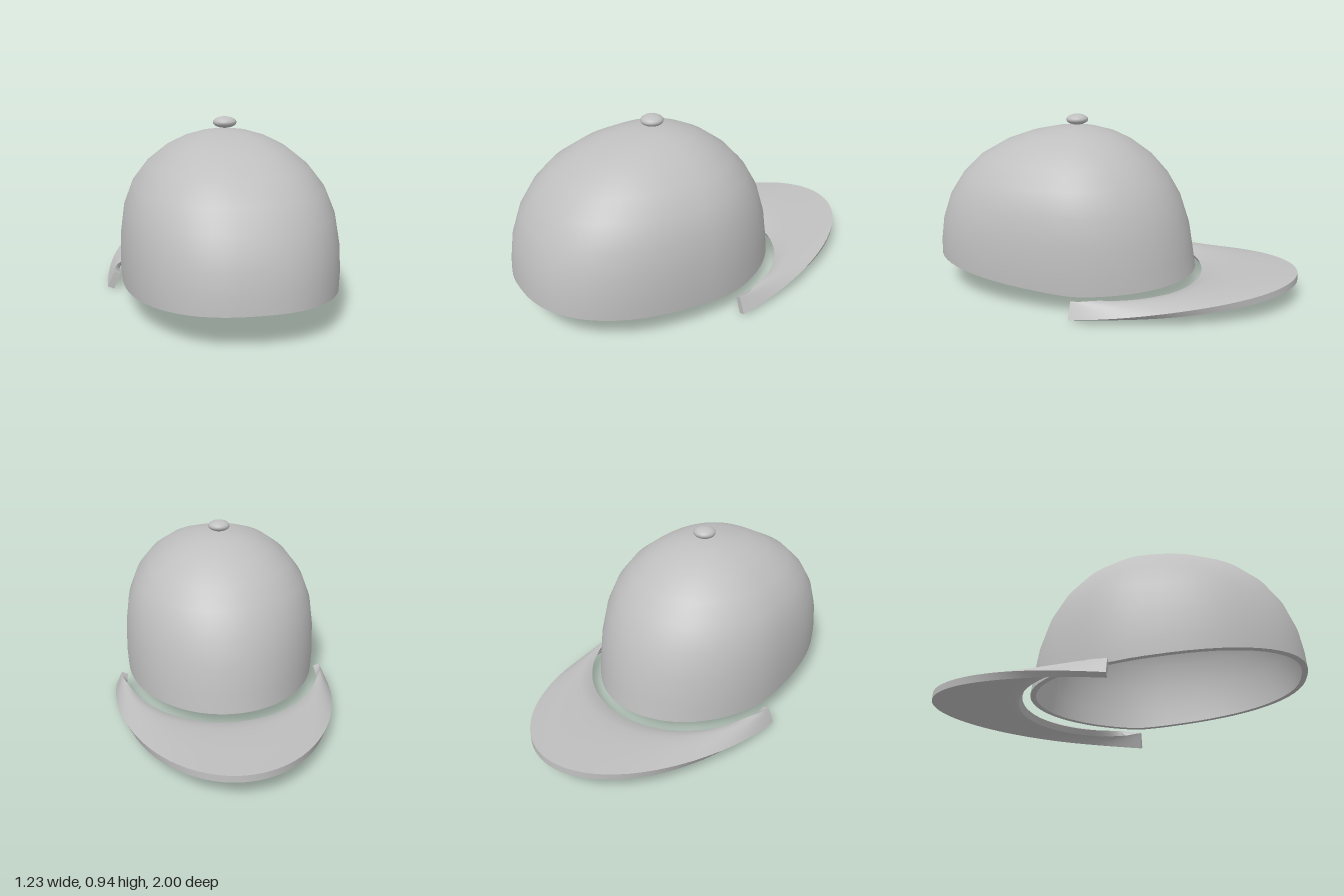
import * as THREE from 'three';
import { mergeVertices, toCreasedNormals } from 'three/addons/utils/BufferGeometryUtils.js';

// Surface from a grid of points: columns run rightward, rows downward, seen from outside
function gridSurface(cols, rows, point, crease = 0.9) {
  const pos = [], index = [];
  for (let i = 0; i <= cols; i++) {
    for (let j = 0; j <= rows; j++) {
      pos.push(...point(i, j).toArray());
      if (i === cols || j === rows) continue;
      const a = i * (rows + 1) + j, d = a + rows + 1;
      index.push(a, a + 1, d + 1, a, d + 1, d);
    }
  }
  const g = new THREE.BufferGeometry();
  g.setAttribute('position', new THREE.Float32BufferAttribute(pos, 3));
  g.setIndex(index);
  return toCreasedNormals(mergeVertices(g, 1e-5), crease);
}

// Crown levels: height, half width, rear z, front z
const TOP = 0.885, BASE = 0.1, MID_Z = 0.22, WALL = 0.03;
const LEVELS = [
  [0.885, 0, 0.22, 0.22],
  [0.872, 0.12, 0.1, 0.35],
  [0.845, 0.21, 0.0, 0.48],
  [0.80, 0.30, -0.09, 0.61],
  [0.72, 0.40, -0.20, 0.75],
  [0.62, 0.475, -0.29, 0.85],
  [0.50, 0.52, -0.36, 0.925],
  [0.35, 0.54, -0.41, 0.975],
  [0.20, 0.545, -0.435, 0.995],
  [0.10, 0.54, -0.45, 1.0],
];

function crownGeometry() {
  const n = LEVELS.length, cols = 64;
  return gridSurface(cols, 2 * n - 1, (i, j) => {
    const inner = j >= n;
    const [h, w, back, front] = LEVELS[inner ? 2 * n - 1 - j : j];
    const a = ((i % cols) / cols) * Math.PI * 2;
    const s = Math.sin(a), c = Math.cos(a);
    const inset = inner ? WALL : 0;
    // front half is squarer than the rear half
    const e = 2 / (c > 0 ? 2.4 : 2);
    const rx = Math.max(0, w - inset);
    const rz = Math.max(0, (c > 0 ? front - MID_Z : MID_Z - back) - inset);
    const x = rx * Math.sign(s) * Math.abs(s) ** e;
    const z = MID_Z + rz * Math.sign(c) * Math.abs(c) ** e;
    // rim rises toward the front and slightly at the rear
    const rim = z > 0.05 ? 0.084 * (z - 0.05) : 0.024 * (0.05 - z);
    const k = (h - BASE) / (TOP - BASE);
    return new THREE.Vector3(x, h + rim * (1 - k) ** 3 - inset * k, z);
  });
}

// Middle surface of the brim: t runs round the head, s from inner to outer edge
function brimPoint(t, s) {
  const q = Math.sin(t), lerp = THREE.MathUtils.lerp;
  const y = lerp(0.093 - 0.02 * q, 0.009 + 0.124 * q, s)
    + 0.022 * q * Math.sin(Math.PI * Math.sqrt(Math.max(0, s)));
  return new THREE.Vector3(
    lerp(0.56, 0.597, s) * Math.cos(t), y, 0.06 - lerp(0.555, 1.06, s) * q);
}

function brimGeometry() {
  const steps = 56, across = 10, half = 0.018, d = 1e-3;
  const rows = 2 * across + 2;
  return gridSurface(steps + 2, rows, (i, j) => {
    const t = (THREE.MathUtils.clamp(i - 1, 0, steps) / steps) * Math.PI;
    const jj = j % rows, top = jj <= across;
    const s = (top ? jj : 2 * across + 1 - jj) / across;
    const p = brimPoint(t, s);
    if (i === 0 || i === steps + 2) return p; // closes the two ends
    const sm = THREE.MathUtils.clamp(s, 0.02, 0.98);
    const along = brimPoint(t + d, sm).sub(brimPoint(t - d, sm));
    const out = brimPoint(t, sm + d).sub(brimPoint(t, sm - d));
    const normal = along.cross(out).normalize();
    if (normal.y < 0) normal.negate();
    return p.addScaledVector(normal, top ? half : -half);
  });
}

export function createModel() {
  const model = new THREE.Group();
  model.name = 'cap';
  const cloth = new THREE.MeshStandardMaterial({ color: 0xbfbfbf });
  cloth.name = 'greyCloth';

  const add = (name, geometry) => {
    const mesh = new THREE.Mesh(geometry, cloth);
    mesh.name = name;
    model.add(mesh);
    return mesh;
  };

  add('crown', crownGeometry());
  add('brim', brimGeometry());

  // flattened button on the crown
  const button = add('button', new THREE.SphereGeometry(1, 32, 16));
  button.scale.set(0.06, 0.029, 0.06);
  button.position.set(0, 0.916, 0.215);

  return model;
}
